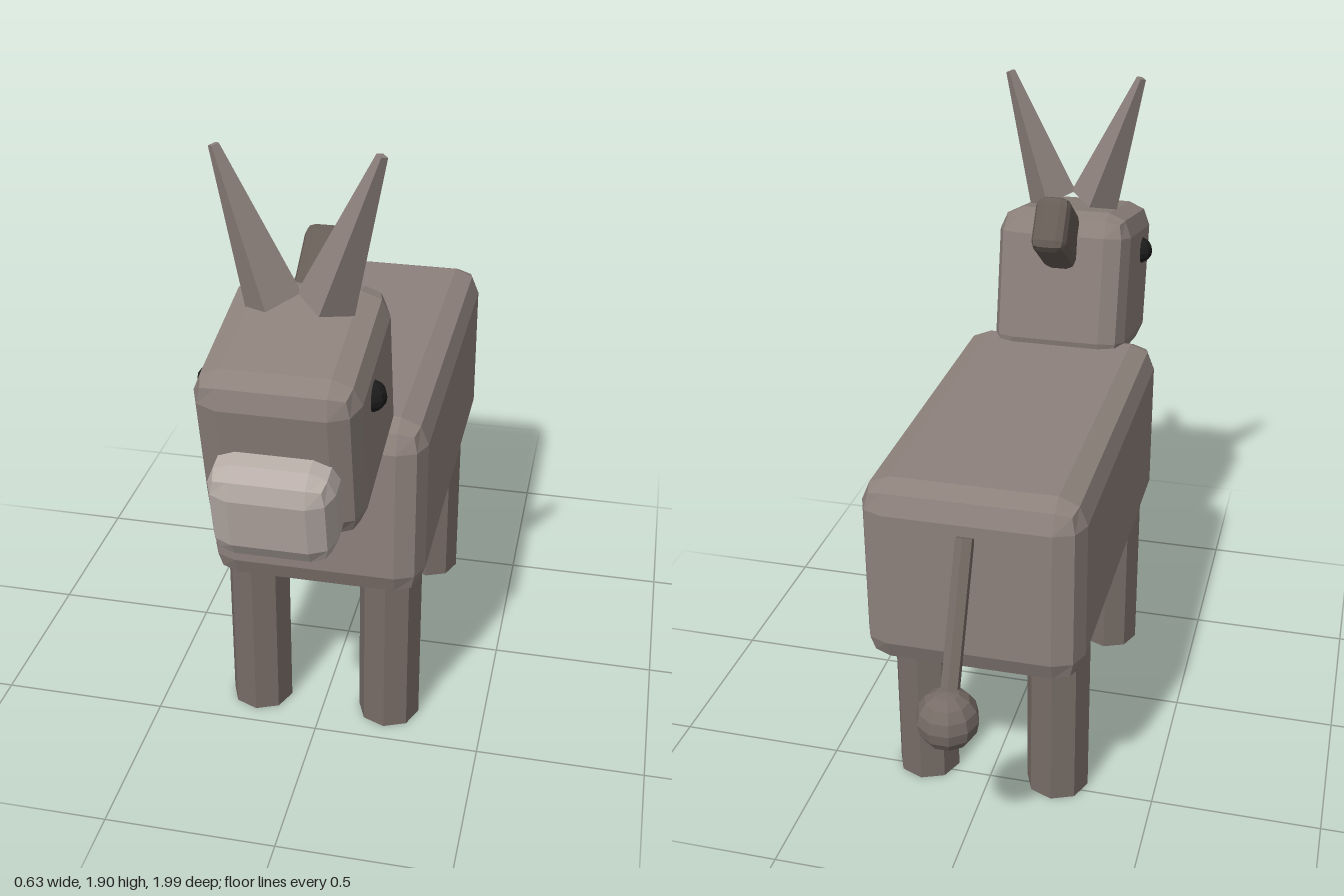
import * as THREE from 'three';
import { RoundedBoxGeometry } from 'three/addons/geometries/RoundedBoxGeometry.js';

const material = (color) => new THREE.MeshStandardMaterial({ color, flatShading: true });

export function createModel() {
  const model = new THREE.Group();
  model.name = 'donkey';
  const coat = material(0x8d817b);
  const darkCoat = material(0x776c66);
  const maneHair = material(0x665c56);
  const muzzleCoat = material(0xb8ada7);
  const eyeBlack = material(0x1c1c1c);

  const add = (parent, name, geometry, mat, x, y, z) => {
    const mesh = new THREE.Mesh(geometry, mat);
    mesh.name = name;
    mesh.position.set(x, y, z);
    parent.add(mesh);
    return mesh;
  };
  // box with one bevel step along every edge
  const block = (w, h, d, r) => new RoundedBoxGeometry(w, h, d, 1, r);

  // cylinder running between two points
  const rod = (name, from, to, rTop, rBottom, sides, mat) => {
    const axis = new THREE.Vector3().subVectors(to, from);
    const mid = new THREE.Vector3().addVectors(from, to).multiplyScalar(0.5);
    const mesh = add(model, name, new THREE.CylinderGeometry(rTop, rBottom, axis.length(), sides), mat, mid.x, mid.y, mid.z);
    mesh.quaternion.setFromUnitVectors(new THREE.Vector3(0, 1, 0), axis.normalize());
    return mesh;
  };
  const v = (x, y, z) => new THREE.Vector3(x, y, z);

  add(model, 'body', block(0.632, 0.57, 1.21, 0.08), coat, 0, 0.796, -0.108);

  // head and muzzle share a slight downward nod
  const head = new THREE.Group();
  head.name = 'head';
  head.position.set(0, 1.214, 0.633);
  head.rotation.x = 0.2;
  model.add(head);
  add(head, 'skull', block(0.43, 0.49, 0.52, 0.075), coat, 0, 0, 0);
  add(head, 'muzzle', block(0.33, 0.28, 0.25, 0.065), muzzleCoat, 0, -0.096, 0.249);

  // mane tuft behind the head
  const mane = add(model, 'mane', block(0.11, 0.175, 0.3, 0.03), maneHair, 0, 1.444, 0.38);
  mane.rotation.x = 0.6;

  for (const [side, s] of [['left', 1], ['right', -1]]) {
    add(model, side + 'Eye', new THREE.SphereGeometry(0.043, 10, 8), eyeBlack, s * 0.207, 1.3, 0.71);
    rod(side + 'Ear', v(s * 0.069, 1.495, 0.608), v(s * 0.211, 1.9, 0.608), 0.015, 0.08, 4, coat);
    for (const [end, z] of [['Front', 0.352], ['Back', -0.466]]) {
      add(model, side + end + 'Leg', new THREE.CylinderGeometry(0.094, 0.094, 0.56, 8), darkCoat, s * 0.203, 0.28, z);
    }
  }

  // tail with a round tassel
  rod('tail', v(0, 0.53, -0.914), v(0, 0.97, -0.717), 0.027, 0.027, 6, darkCoat);
  add(model, 'tailTassel', new THREE.SphereGeometry(0.087, 10, 8), darkCoat, 0, 0.525, -0.913);

  return model;
}
